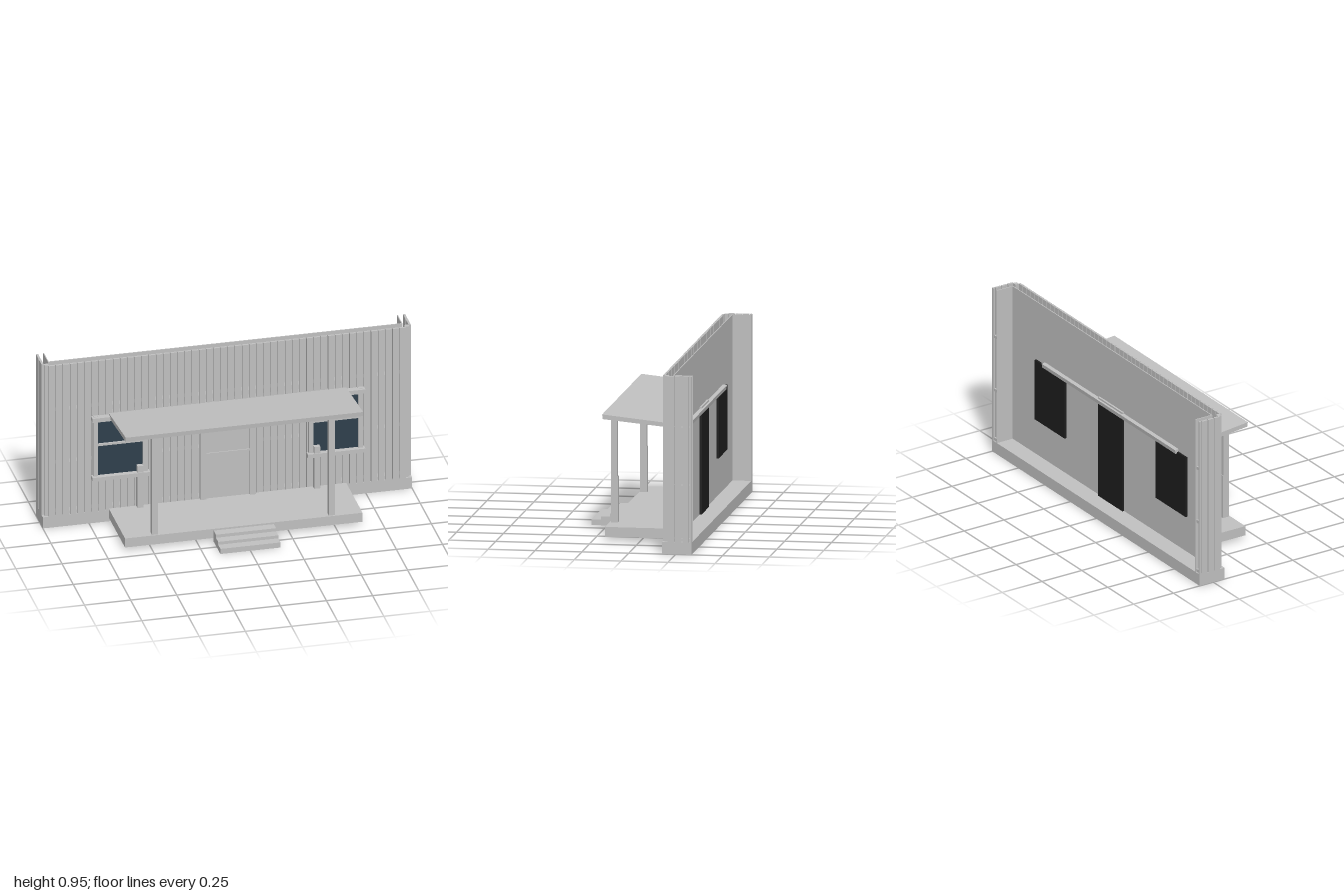
import * as THREE from 'three';

const grey = new THREE.MeshStandardMaterial({ name: 'paintedGrey', color: 0xc0c0c0 });
const glass = new THREE.MeshStandardMaterial({ name: 'windowGlass', color: 0x2f3f4c });
const black = new THREE.MeshStandardMaterial({ name: 'blackBacking', color: 0x1e1e1e });

// Box given by its minimum and maximum on each axis
function box(parent, name, [x0, x1], [y0, y1], [z0, z1], mat = grey) {
  const mesh = new THREE.Mesh(new THREE.BoxGeometry(x1 - x0, y1 - y0, z1 - z0), mat);
  mesh.position.set((x0 + x1) / 2, (y0 + y1) / 2, (z0 + z1) / 2);
  mesh.name = name;
  parent.add(mesh);
  return mesh;
}

// The same box on both sides of x = 0
function pair(parent, name, [x0, x1], y, z, mat = grey) {
  box(parent, name + 'Left', [x0, x1], y, z, mat);
  box(parent, name + 'Right', [-x1, -x0], y, z, mat);
}

function group(parent, name) {
  const g = new THREE.Group();
  g.name = name;
  parent.add(g);
  return g;
}

function buildWall(root) {
  const wall = group(root, 'wall');
  const top = 0.95, base = 0.065, gap = 0.005;
  box(wall, 'plinth', [-1, 1], [0, base], [-0.335, -0.178]);

  // Inner skin
  box(wall, 'innerPanel', [-0.96, 0.96], [base, top], [-0.235, -0.23]);
  pair(wall, 'innerSidePanel', [0.955, 0.96], [base, top], [-0.335, -0.23]);

  // Vertical siding on the front
  const count = 50, pitch = 1.94 / count;
  for (let i = 0; i < count; i++) {
    const x = -0.97 + i * pitch;
    box(wall, 'frontBoard', [x + gap / 2, x + pitch - gap / 2], [base, top], [-0.19, -0.178]);
  }

  // Siding on the short returns
  const cuts = [-0.335, -0.322, -0.283, -0.244, -0.205];
  for (let i = 0; i < cuts.length - 1; i++) {
    pair(wall, 'sideBoard', [0.988, 1], [base, top], [cuts[i] + (i ? gap / 2 : 0), cuts[i + 1] - gap / 2]);
  }
  pair(wall, 'cornerPost', [0.965, 0.988], [base, top], [-0.212, -0.19]);

  // Horizontal rails between the two skins
  for (const y of [0.075, 0.36, 0.67]) {
    box(wall, 'frontRail', [-0.965, 0.965], [y - 0.008, y + 0.008], [-0.23, -0.19]);
    pair(wall, 'sideRail', [0.96, 0.988], [y - 0.008, y + 0.008], [-0.33, -0.212]);
  }
}

function buildWindow(root, side) {
  const win = group(root, side > 0 ? 'windowLeft' : 'windowRight');
  win.position.x = side * 0.583;
  box(win, 'glass', [-0.124, 0.124], [0.275, 0.61], [-0.178, -0.173], glass);
  pair(win, 'stile', [0.122, 0.147], [0.255, 0.632], [-0.18, -0.16]);
  box(win, 'middleRail', [-0.124, 0.124], [0.456, 0.468], [-0.178, -0.163]);
  box(win, 'sill', [-0.156, 0.156], [0.26, 0.282], [-0.18, -0.143]);
  box(win, 'header', [-0.156, 0.156], [0.606, 0.63], [-0.18, -0.143]);
  box(win, 'backing', [-0.144, 0.144], [0.27, 0.615], [-0.246, -0.234], black);
}

function buildDoor(root) {
  const door = group(root, 'door');
  box(door, 'doorPanel', [-0.118, 0.118], [0.075, 0.588], [-0.18, -0.172]);
  box(door, 'topGlass', [-0.118, 0.118], [0.588, 0.597], [-0.18, -0.174], glass);
  box(door, 'middleRail', [-0.118, 0.118], [0.332, 0.342], [-0.174, -0.166]);
  pair(door, 'jamb', [0.118, 0.15], [0.075, 0.6], [-0.18, -0.16]);
  box(door, 'lintel', [-0.155, 0.155], [0.597, 0.614], [-0.18, -0.153]);
  box(door, 'backing', [-0.118, 0.118], [0.065, 0.615], [-0.246, -0.234], black);
  box(door, 'backLintel', [-0.118, 0.118], [0.615, 0.638], [-0.246, -0.234]);
}

function buildPorch(root) {
  const porch = group(root, 'porch');
  box(porch, 'deck', [-0.643, 0.643], [0.022, 0.075], [-0.178, 0.185]);

  // Steps
  [[0, 0.03, 0.335], [0.03, 0.047, 0.285], [0.047, 0.065, 0.235]].forEach(([y0, y1, z]) =>
    box(porch, 'step', [-0.163, 0.163], [y0, y1], [0.185, z]));

  // Tall front posts, and short posts front and back
  pair(porch, 'porchPost', [0.463, 0.495], [0.075, 0.65], [0.144, 0.177]);
  pair(porch, 'frontStub', [0.464, 0.494], [0.075, 0.32], [0.14, 0.172]);
  pair(porch, 'wallStub', [0.463, 0.495], [0.075, 0.32], [-0.18, -0.148]);

  // Sloping roof, drawn in side section and extruded across
  const section = new THREE.Shape([
    [-0.2, 0.675], [-0.197, 0.65], [0.254, 0.606], [0.257, 0.628],
  ].map(([a, b]) => new THREE.Vector2(a, b)));
  const geo = new THREE.ExtrudeGeometry(section, { depth: 1.286, bevelEnabled: false });
  geo.translate(0, 0, -0.643);
  geo.rotateY(Math.PI / 2);
  const roof = new THREE.Mesh(geo, grey);
  roof.name = 'porchRoof';
  porch.add(roof);
}

export function createModel() {
  const root = new THREE.Group();
  root.name = 'cabinFront';
  buildWall(root);
  buildWindow(root, 1);
  buildWindow(root, -1);
  buildDoor(root);
  buildPorch(root);
  return root;
}
